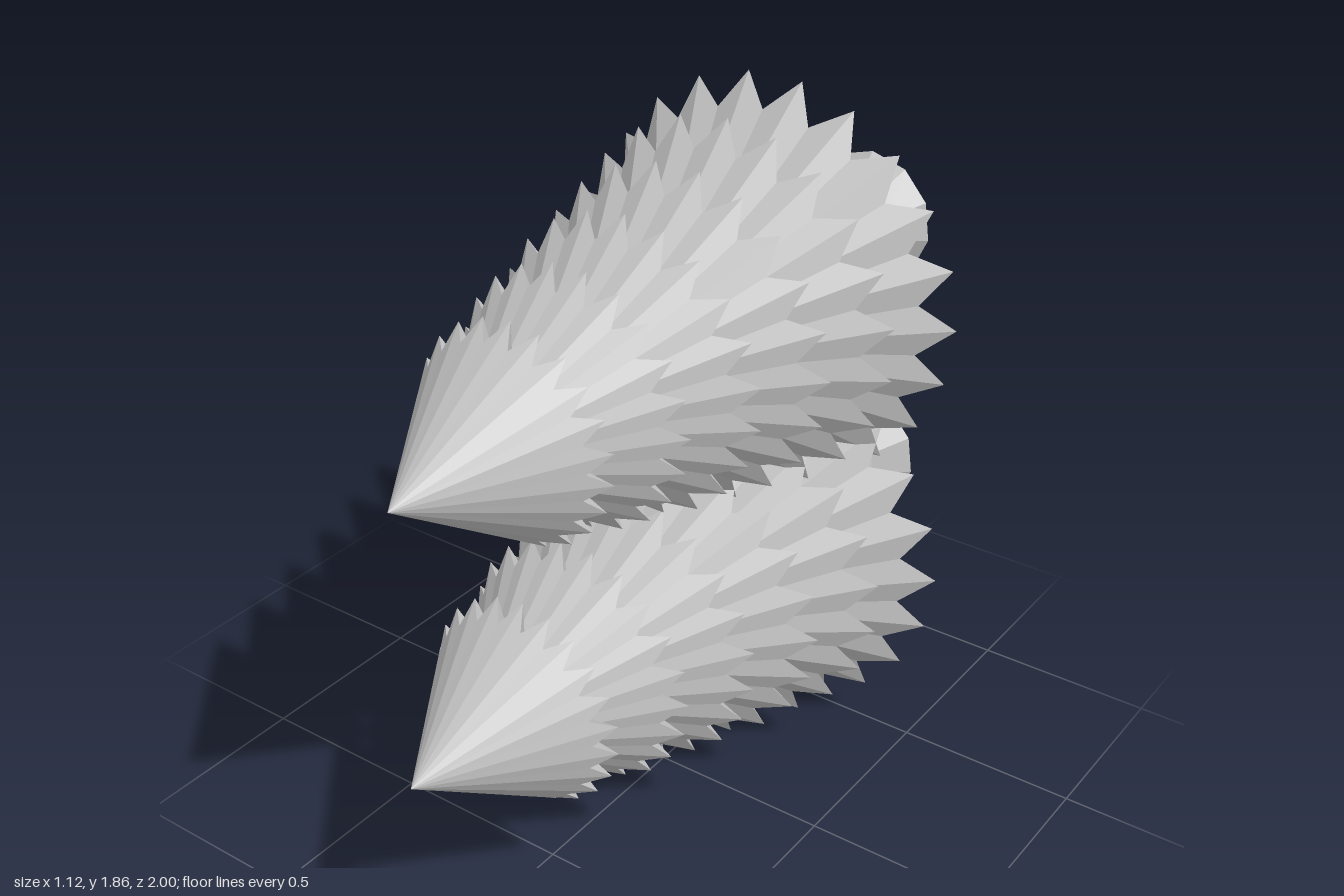
import * as THREE from 'three';

const SPIKES = 22;
const TIERS = 6;

// Cone whose rim zigzags between low outer tips and raised inner notches
function tierGeometry(radius, height, baseY, turn) {
  const notchRise = 0.055, notchScale = 0.86, count = SPIKES * 2;
  const positions = [0, baseY + height, 0, 0, baseY, 0];
  const index = [];
  for (let i = 0; i < count; i++) {
    const a = (i / count) * Math.PI * 2 + turn;
    const notch = i % 2 === 1;
    const r = notch ? radius * notchScale : radius;
    positions.push(r * Math.cos(a), baseY + (notch ? notchRise : 0), r * Math.sin(a));
    const p = 2 + i, q = 2 + ((i + 1) % count);
    index.push(0, q, p, 1, p, q); // outer face and underside
  }
  const indexed = new THREE.BufferGeometry();
  indexed.setAttribute('position', new THREE.Float32BufferAttribute(positions, 3));
  indexed.setIndex(index);
  const geometry = indexed.toNonIndexed();
  geometry.computeVertexNormals();
  return geometry;
}

// One tree, upright along y with its tip at y = 1 and its foot at y = -1
function createTree(material) {
  const tree = new THREE.Group();
  for (let k = 0; k < TIERS; k++) {
    const turn = k % 2 === 0 ? Math.PI / SPIKES : 0; // spikes alternate between tiers
    const geometry = tierGeometry(0.285 + 0.055 * k, 0.425 + 0.021 * k, 0.575 - 0.211 * k, turn);
    const tier = new THREE.Mesh(geometry, material);
    tier.name = `branchTier${k + 1}`;
    tree.add(tier);
  }

  // Trunk with a flared foot
  const profile = [[0, -1], [0.195, -1], [0.117, -0.905], [0.1, -0.45]]
    .map(([r, y]) => new THREE.Vector2(r, y));
  const trunk = new THREE.Mesh(new THREE.LatheGeometry(profile, 11, Math.PI), material);
  trunk.name = 'trunk';
  tree.add(trunk);
  return tree;
}

export function createModel() {
  const grey = new THREE.MeshStandardMaterial({ color: 0xc4c4c4, flatShading: true });
  grey.name = 'plainGrey';

  const model = new THREE.Group();
  model.name = 'stackedTrees';

  // Two trees lying on their sides, tips to the front
  [['lowerTree', 0.557], ['upperTree', 1.305]].forEach(([name, y]) => {
    const tree = createTree(grey);
    tree.name = name;
    tree.rotation.x = Math.PI / 2;
    tree.position.y = y;
    model.add(tree);
  });
  return model;
}
